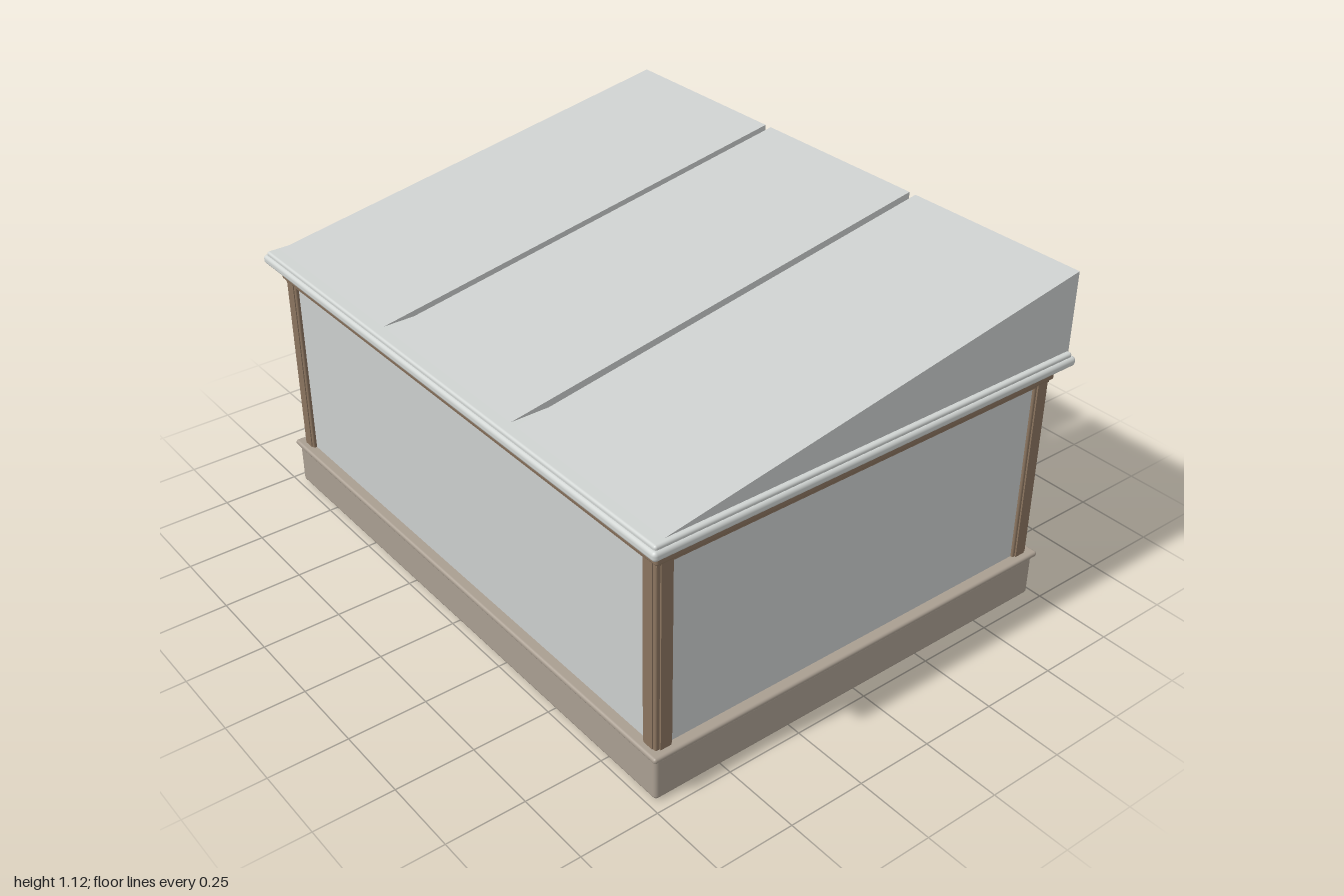
import * as THREE from 'three';
import { RoundedBoxGeometry } from 'three/addons/geometries/RoundedBoxGeometry.js';

const material = (name, color) => {
  const m = new THREE.MeshStandardMaterial({ color });
  m.name = name;
  return m;
};

export function createModel() {
  const group = new THREE.Group();
  group.name = 'slopedRoofCabinet';
  const panelGrey = material('panel grey', 0xcbcecd);
  const trimGrey = material('trim grey', 0xd0d4d2);
  const stone = material('taupe stone', 0xa99e91);
  const wood = material('brown wood', 0x8a745f);
  const dark = material('dark underside', 0x403d3f);

  const add = (name, geometry, mat, x, y, z) => {
    const mesh = new THREE.Mesh(geometry, mat);
    mesh.name = name;
    mesh.position.set(x, y, z);
    group.add(mesh);
    return mesh;
  };
  // Box given by its centre in plan and its bottom and top heights
  const box = (name, mat, w, d, y0, y1, x = 0, z = 0, r = 0) => add(name,
    r ? new RoundedBoxGeometry(w, y1 - y0, d, 3, r) : new THREE.BoxGeometry(w, y1 - y0, d),
    mat, x, (y0 + y1) / 2, z);

  // Plinth with a projecting lip
  box('underside', dark, 1.91, 1.44, 0, 0.008);
  box('plinth', stone, 1.93, 1.46, 0.003, 0.145, 0, 0, 0.012);
  box('plinthLip', stone, 1.95, 1.48, 0.142, 0.16, 0, 0, 0.008);

  // Wall panels, slightly recessed between the posts
  box('wallPanels', panelGrey, 1.88, 1.41, 0.155, 0.77);

  // Corner posts: a square core with a proud strip on each outer face
  for (const sx of [-1, 1]) for (const sz of [-1, 1]) {
    box('cornerPost', wood, 0.058, 0.058, 0.155, 0.77, sx * 0.919, sz * 0.687, 0.005);
    box('postFrontStrip', wood, 0.036, 0.012, 0.155, 0.77, sx * 0.918, sz * 0.713);
    box('postSideStrip', wood, 0.012, 0.036, 0.155, 0.77, sx * 0.947, sz * 0.685);
  }

  // Stepped upper beam
  box('beamLower', wood, 1.9, 1.43, 0.76, 0.775);
  box('beam', wood, 1.92, 1.45, 0.77, 0.812, 0, 0, 0.008);
  box('beamNeck', wood, 1.9, 1.43, 0.808, 0.83);

  // Roof slab with a rounded edge in two steps
  box('roofSlab', trimGrey, 2.0, 1.525, 0.82, 0.85, 0, 0, 0.012);
  box('roofSlabTop', trimGrey, 1.98, 1.505, 0.84, 0.862, 0, 0, 0.008);

  // Three sloping roof wedges, extruded along x from a triangular side profile
  const side = new THREE.Shape();
  side.moveTo(0.735, 0.858);
  side.lineTo(-0.752, 0.858);
  side.lineTo(-0.752, 1.115);
  side.closePath();
  const width = 0.633;
  const wedge = new THREE.ExtrudeGeometry(side, { depth: width, bevelEnabled: false });
  wedge.rotateY(-Math.PI / 2); // profile x becomes z, depth becomes -x
  wedge.translate(width / 2, 0, 0);
  for (let i = -1; i <= 1; i++) {
    const x = i * 0.658;
    add('roofWedge', wedge, panelGrey, x, 0, 0);
    // Framed plate on the tall back face
    box('backPlateFrame', stone, 0.59, 0.009, 0.878, 1.088, x, -0.7565);
    box('backPlate', panelGrey, 0.574, 0.004, 0.886, 1.08, x, -0.7605);
  }

  // Strips on the floor of the gaps between the wedges
  for (const s of [-1, 1]) box('gapStrip', stone, 0.026, 1.265, 0.86, 0.866, s * 0.329, -0.1195);

  return group;
}
